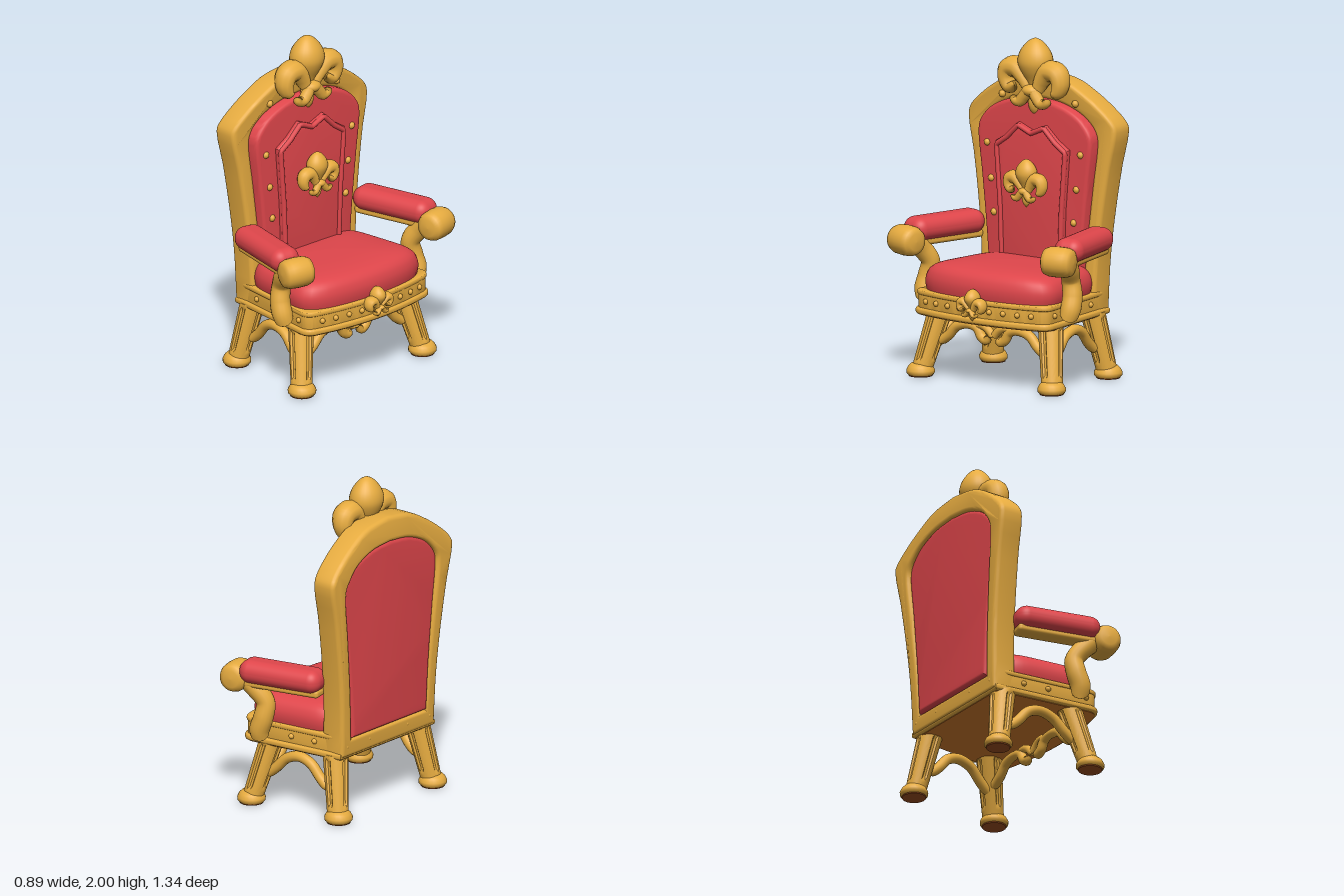
import * as THREE from 'three';
import { toCreasedNormals } from 'three/addons/utils/BufferGeometryUtils.js';
import { RoundedBoxGeometry } from 'three/addons/geometries/RoundedBoxGeometry.js';

const V = (x, y, z) => new THREE.Vector3(x, y, z);

export function createModel() {
  const model = new THREE.Group();
  model.name = 'throne';
  function material(name, color) {
    const m = new THREE.MeshStandardMaterial({ color });
    m.name = name;
    return m;
  }
  const gold = material('gold', 0xecb042);
  const red = material('red velvet', 0xdf464b);
  const amber = material('amber underside', 0xd07a2c);
  const brown = material('brown sole', 0x9c4e20);

  function add(name, geo, mat, parent = model) {
    const mesh = new THREE.Mesh(geo, mat);
    mesh.name = name;
    parent.add(mesh);
    return mesh;
  }
  // Move every vertex by a rule
  function warp(geo, rule) {
    const p = geo.attributes.position, v = V();
    for (let i = 0; i < p.count; i++) {
      rule(v.fromBufferAttribute(p, i));
      p.setXYZ(i, v.x, v.y, v.z);
    }
    return geo;
  }
  // Rounded sweep along a curve with changing thickness and closed ends
  function sweep(pts, radii, sides = 12) {
    const curve = new THREE.CatmullRomCurve3(pts), n = pts.length * 7;
    const geo = new THREE.TubeGeometry(curve, n, 1, sides);
    const p = geo.attributes.position, v = V();
    for (let i = 0; i < p.count; i++) {
      const u = Math.floor(i / (sides + 1)) / n, c = curve.getPointAt(u);
      const f = u * (radii.length - 1), k = Math.min(Math.floor(f), radii.length - 2);
      const e = Math.min(1, Math.min(u, 1 - u) / 0.1);
      const r = THREE.MathUtils.lerp(radii[k], radii[k + 1], f - k) * Math.sqrt(1 - (1 - e) ** 2);
      v.fromBufferAttribute(p, i).sub(c).multiplyScalar(r).add(c);
      p.setXYZ(i, v.x, v.y, v.z);
    }
    return geo;
  }
  // Symmetric outline from the points of one half, ending on the centre line
  function mirrored(half, smooth = true) {
    let pts = half.map(([z, y]) => V(z, y, 0));
    if (smooth) pts = new THREE.CatmullRomCurve3(pts, false, 'centripetal').getPoints(32);
    const right = pts.map(p => new THREE.Vector2(p.x, p.y));
    const left = right.slice(0, -1).reverse().map(p => new THREE.Vector2(-p.x, p.y));
    return [...right, ...left];
  }
  // Bevelled slab between two depths
  function slab(shape, d0, d1, b) {
    return new THREE.ExtrudeGeometry(shape, {
      depth: d1 - d0 - 2 * b, bevelThickness: b, bevelSize: b, bevelOffset: -b, bevelSegments: 4, curveSegments: 24,
    }).translate(0, 0, d0 + b);
  }
  const across = (...a) => toCreasedNormals(slab(...a).rotateY(Math.PI / 2), 0.6);
  const flat = (...a) => toCreasedNormals(slab(...a).rotateX(-Math.PI / 2), 0.6);

  // Back frame, leaning backwards up to its shoulders
  const opening = [[0.33, 0.5], [0.35, 0.8], [0.385, 1.15], [0.412, 1.4], [0.4, 1.46], [0.32, 1.55], [0.17, 1.615], [0, 1.635]];
  const frame = new THREE.Shape(mirrored([[0.42, 0.39], [0.43, 0.7], [0.455, 0.95], [0.5, 1.25], [0.545, 1.49],
    [0.522, 1.54], [0.44, 1.615], [0.33, 1.69], [0.2, 1.755], [0, 1.785]]));
  frame.holes.push(new THREE.Path(mirrored(opening)));
  const frameGeo = warp(slab(frame, -0.382, -0.225, 0.025).rotateY(Math.PI / 2), v => {
    v.x -= 0.038 * (v.y < 1.5 ? (v.y - 0.39) / 1.11 : 1 - (v.y - 1.5) / 0.3);
  });
  add('backFrame', toCreasedNormals(frameGeo, 0.6), gold);

  // Back upholstery with its raised and piped centre panel
  const padShape = new THREE.Shape(mirrored(opening.map(([z, y]) => [z * 1.02, y + (y > 1.3 ? 0.006 : 0)])));
  add('backPad', across(padShape, -0.395, -0.195, 0.025), red);
  const panel = [[0.225, 0.6], [0.24, 1.0], [0.27, 1.36], [0.19, 1.41], [0.1, 1.49], [0, 1.45]];
  const panelPts = mirrored(panel, false);
  add('backPanel', across(new THREE.Shape(panelPts), -0.24, -0.167, 0.015), red);
  const piping = new THREE.CurvePath();
  panelPts.slice(1).forEach((p, i) => {
    const q = panelPts[i];
    piping.add(new THREE.LineCurve3(V(-0.168, q.y - 0.015, q.x * 0.94), V(-0.168, p.y - 0.015, p.x * 0.94)));
  });
  add('backPiping', new THREE.TubeGeometry(piping, 120, 0.016, 10), red);

  // Seat rail with lips
  function seatShape(g) {
    const s = new THREE.Shape();
    s.moveTo(-0.36 - g, -0.41 - g);
    s.lineTo(0.25, -0.485 - g);
    s.quadraticCurveTo(0.31 + g, -0.49 - g, 0.325 + g, -0.42);
    s.quadraticCurveTo(0.425 + g, 0, 0.325 + g, 0.42);
    s.quadraticCurveTo(0.31 + g, 0.49 + g, 0.25, 0.485 + g);
    s.lineTo(-0.36 - g, 0.41 + g);
    return s;
  }
  add('seatRail', flat(seatShape(0), 0.385, 0.52, 0.012), gold);
  add('seatRailLowerLip', flat(seatShape(0.015), 0.38, 0.42, 0.015), gold);
  add('seatRailUpperLip', flat(seatShape(0.006), 0.495, 0.525, 0.01), gold);
  add('seatUnderside', flat(seatShape(0), 0.376, 0.384, 0.002), amber);

  // Domed seat cushion: a lathe squared off in plan, with a bowed front
  const domeCurve = new THREE.SplineCurve([[0.97, 0.5], [1, 0.56], [0.99, 0.61], [0.93, 0.655], [0.8, 0.685], [0.5, 0.704], [0, 0.712]]
    .map(p => new THREE.Vector2(...p)));
  const cushion = warp(new THREE.LatheGeometry(domeCurve.getPoints(28), 72), v => {
    const a = Math.atan2(v.z, v.x);
    const f = (Math.abs(Math.cos(a)) ** 6 + Math.abs(Math.sin(a)) ** 6) ** (-1 / 6);
    const px = v.x * f, pz = v.z * f;
    v.x = px * 0.3 + 0.065 * (1 - pz * pz) * Math.max(px, 0);
    v.z = pz * (0.45 + 0.04 * px);
  });
  add('seatCushion', toCreasedNormals(cushion, 1), red);

  // Lily ornament, one unit tall, turned to face the chair's front
  function lily(name, x, y, size, depth) {
    const g = new THREE.Group();
    g.name = name;
    const profile = new THREE.SplineCurve([[0, 0], [0.07, 0.08], [0.095, 0.18], [0.08, 0.32], [0.12, 0.44], [0.2, 0.58],
      [0.235, 0.7], [0.2, 0.83], [0.1, 0.95], [0, 1]].map(p => new THREE.Vector2(...p))).getPoints(36);
    profile.forEach(p => { p.x = Math.max(0, p.x); });
    add('centrePetal', new THREE.LatheGeometry(profile, 28), gold, g);
    for (const s of [1, -1]) {
      const path = (pts, z) => pts.map(([a, b]) => V(a * s, b, z));
      add('sidePetal', sweep(path([[0.04, 0.28], [0.13, 0.47], [0.25, 0.6], [0.38, 0.58], [0.42, 0.46], [0.37, 0.35], [0.3, 0.37]], 0.03),
        [0.06, 0.09, 0.12, 0.14, 0.125, 0.105, 0.085]).scale(1, 1, 1.35), gold, g);
      add('tailPetal', sweep(path([[0.03, 0.36], [0.1, 0.26], [0.17, 0.19], [0.25, 0.21], [0.25, 0.26]], 0.1),
        [0.06, 0.075, 0.075, 0.065, 0.05]).scale(1, 1, 1.2), gold, g);
    }
    const band = add('band', new THREE.SphereGeometry(0.13, 20, 12), gold, g);
    band.position.set(0, 0.34, 0.09);
    band.scale.y = 0.6;
    g.rotation.y = Math.PI / 2;
    g.position.set(x, y, 0);
    g.scale.set(size, size, size * depth);
    model.add(g);
  }
  lily('crestOrnament', -0.212, 1.53, 0.47, 0.88);
  lily('backOrnament', -0.125, 1.0, 0.29, 0.85);
  lily('seatOrnament', 0.39, 0.4, 0.192, 1.2);

  // Round studs
  const studGeo = new THREE.SphereGeometry(0.022, 12, 8);
  const smallStudGeo = new THREE.SphereGeometry(0.017, 12, 8);
  const stud = (x, y, z, geo = smallStudGeo) => add('stud', geo, gold).position.set(x, y, z);

  for (const s of [1, -1]) {
    [[-0.2, 1.34, 0.345], [-0.2, 1.13, 0.315], [-0.2, 0.93, 0.295], [-0.245, 1.63, 0.27]].forEach(([x, y, z]) => stud(x, y, z * s, studGeo));
    for (const z of [0.11, 0.205, 0.3, 0.39]) stud(0.376 - 0.28 * z * z, 0.462, z * s);
    for (const x of [-0.18, -0.02, 0.23]) stud(x, 0.462, s * (0.455 + 0.123 * x));
    stud(-0.37, 0.455, 0.17 * s);
    stud(-0.37, 0.455, 0.37 * s);

    // Armrest: pad, rail, rounded hand knob and curved post
    const turn = -s * 0.23;
    const pad = add('armPad', new RoundedBoxGeometry(0.53, 0.142, 0.182, 6, 0.068), red);
    pad.position.set(-0.008, 0.857, 0.517 * s);
    pad.rotation.y = turn;
    const rail = add('armRail', new RoundedBoxGeometry(0.5, 0.05, 0.11, 3, 0.02), gold);
    rail.position.set(-0.01, 0.785, 0.512 * s);
    rail.rotation.y = turn;
    const knobProfile = [[0, -0.1], [0.05, -0.097], [0.077, -0.083], [0.088, -0.055], [0.091, 0], [0.088, 0.055], [0.077, 0.083], [0.05, 0.097], [0, 0.1]];
    const knob = add('armKnob', new THREE.LatheGeometry(knobProfile.map(p => new THREE.Vector2(...p)), 28).rotateX(Math.PI / 2), gold);
    knob.position.set(0.295, 0.803, 0.565 * s);
    knob.rotation.y = turn;
    add('armPost', sweep([V(0.23, 0.8, 0.56 * s), V(0.17, 0.74, 0.545 * s), V(0.12, 0.66, 0.52 * s), V(0.125, 0.57, 0.535 * s),
      V(0.15, 0.49, 0.54 * s), V(0.16, 0.42, 0.52 * s)], [0.065, 0.06, 0.056, 0.06, 0.062, 0.05], 16), gold);

    // Splayed legs with one groove on each face, and rounded feet
    for (const [tx, tz, bx, bz] of [[0.165, 0.405, 0.255, 0.485], [-0.285, 0.365, -0.355, 0.425]]) {
      const legGeo = warp(new THREE.CylinderGeometry(0.076, 0.062, 1, 48, 20), v => {
        const t = v.y + 0.5, a = Math.atan2(v.z, v.x);
        const k = Math.cos(4 * a) > 0.85 && t > 0.24 && t < 0.91 ? 0.84 : 1;
        v.set(v.x * k + THREE.MathUtils.lerp(bx, tx, t), 0.02 + t * 0.38, v.z * k + s * THREE.MathUtils.lerp(bz, tz, t));
      });
      add('leg', toCreasedNormals(legGeo, 0.6), gold);
      const footProfile = [[0, 0.004], [0.07, 0.004], [0.083, 0.018], [0.084, 0.036], [0.073, 0.058], [0.055, 0.075], [0, 0.08]];
      const fx = bx + Math.sign(bx) * 0.004;
      add('foot', new THREE.LatheGeometry(footProfile.map(p => new THREE.Vector2(...p)), 24), gold).position.set(fx, 0, bz * s);
      add('footSole', new THREE.CylinderGeometry(0.073, 0.07, 0.007, 24), brown).position.set(fx, 0.0035, bz * s);
    }

    // Arched side stretcher and scrolled half of the front stretcher
    add('sideStretcher', sweep([V(-0.27, 0.17, 0.4 * s), V(-0.2, 0.23, 0.4 * s), V(-0.13, 0.305, 0.405 * s), V(-0.05, 0.33, 0.41 * s), V(0.04, 0.305, 0.415 * s),
      V(0.12, 0.23, 0.425 * s), V(0.19, 0.17, 0.43 * s)], [0.031, 0.031, 0.031], 14), gold);
    add('frontStretcher', sweep([V(0.19, 0.2, 0.4 * s), V(0.19, 0.25, 0.33 * s), V(0.19, 0.31, 0.27 * s), V(0.19, 0.33, 0.19 * s), V(0.19, 0.315, 0.12 * s),
      V(0.19, 0.265, 0.085 * s), V(0.19, 0.25, 0.05 * s), V(0.19, 0.275, 0.035 * s)], [0.03, 0.03, 0.03, 0.026, 0.03, 0.03], 14), gold);
    add('frontScrollLeaf', sweep([V(0.19, 0.315, 0.15 * s), V(0.19, 0.335, 0.09 * s), V(0.19, 0.32, 0.045 * s), V(0.19, 0.275, 0)], [0.022, 0.024, 0.024]), gold);
  }
  return model;
}
